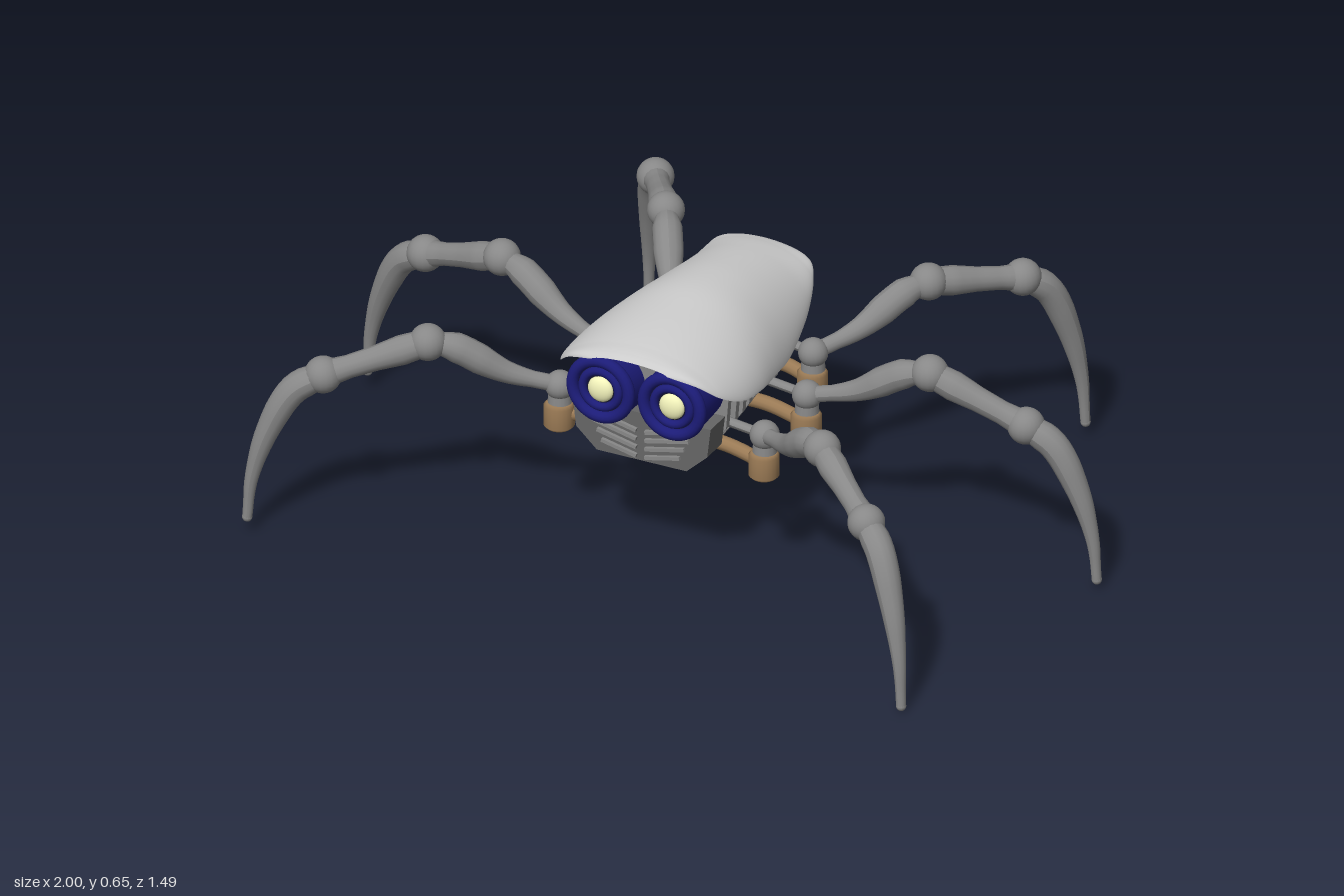
import * as THREE from 'three';
import { ParametricGeometry } from 'three/addons/geometries/ParametricGeometry.js';

const V = (x, y, z) => new THREE.Vector3(x, y, z);
const mat = (color, side = THREE.FrontSide) => new THREE.MeshStandardMaterial({ color, side });
const shellMat = mat(0xcccccc, THREE.DoubleSide);
const metal = mat(0x888888);
const dark = mat(0x666666);
const blue = mat(0x1c1c78);
const navy = mat(0x14142c);
const brown = mat(0x9a7a55);
const lens = mat(0xf4f4bc);

function add(parent, name, geometry, material, position) {
  const mesh = new THREE.Mesh(geometry, material);
  mesh.name = name;
  if (position) mesh.position.copy(position);
  parent.add(mesh);
  return mesh;
}

// Round limb along a smooth path; radii are spread evenly along its length
function taperTube(points, radii, segments = 20, sides = 14) {
  const curve = new THREE.CatmullRomCurve3(points);
  const geo = new THREE.TubeGeometry(curve, segments, 1, sides);
  const pos = geo.attributes.position, p = V(0, 0, 0);
  for (let i = 0; i <= segments; i++) {
    const c = curve.getPointAt(i / segments);
    const f = (i / segments) * (radii.length - 1);
    const k = Math.min(Math.floor(f), radii.length - 2);
    const r = THREE.MathUtils.lerp(radii[k], radii[k + 1], f - k);
    for (let j = 0; j <= sides; j++) {
      const n = i * (sides + 1) + j;
      p.fromBufferAttribute(pos, n).sub(c).multiplyScalar(r).add(c);
      pos.setXYZ(n, p.x, p.y, p.z);
    }
  }
  geo.computeVertexNormals();
  return geo;
}

// Shell stations from front to back: z, half width, ridge height, edge height
const stations = [
  [0.478, 0.10, 0.597, 0.583], [0.455, 0.17, 0.607, 0.56], [0.42, 0.21, 0.615, 0.525],
  [0.35, 0.235, 0.627, 0.49], [0.25, 0.237, 0.638, 0.473], [0.15, 0.222, 0.645, 0.46],
  [0.05, 0.205, 0.64, 0.447], [-0.05, 0.185, 0.627, 0.46], [-0.13, 0.167, 0.614, 0.485],
  [-0.19, 0.148, 0.602, 0.525], [-0.22, 0.128, 0.592, 0.553], [-0.233, 0.09, 0.58, 0.567],
];
const edge = new THREE.CatmullRomCurve3(stations.map(([z, w, , b]) => V(w, b, z)));
const ridge = new THREE.CatmullRomCurve3(stations.map(([z, , t]) => V(0, t, z)));

function shellWidth(z) {
  const i = Math.max(1, stations.findIndex((s) => s[0] <= z));
  const [a, b] = [stations[i - 1], stations[i]];
  return THREE.MathUtils.mapLinear(z, a[0], b[0], a[1], b[1]);
}

// Transverse plate: wide shoulders narrowing to a flat keel
function plate(halfWidth, top, bottom, depth) {
  const mid = bottom + (top - bottom) * 0.4;
  const half = [[halfWidth * 0.65, bottom], [halfWidth * 0.95, mid], [halfWidth, top]];
  const outline = [...half, ...half.map(([x, y]) => [-x, y]).reverse()];
  const shape = new THREE.Shape(outline.map(([x, y]) => new THREE.Vector2(x, y)));
  return new THREE.ExtrudeGeometry(shape, { depth, bevelEnabled: false });
}

// Each leg: hip, knee, ankle and tip
const legs = [
  ['frontLeftLeg', V(0.265, 0.38, 0.295), V(0.51, 0.495, 0.48), V(0.70, 0.415, 0.625), V(0.845, 0.01, 0.73)],
  ['frontRightLeg', V(-0.275, 0.38, 0.295), V(-0.548, 0.50, 0.444), V(-0.762, 0.42, 0.567), V(-0.92, 0.04, 0.65)],
  ['middleLeftLeg', V(0.265, 0.38, 0.075), V(0.57, 0.495, 0.037), V(0.81, 0.40, 0.01), V(0.985, 0.02, -0.012)],
  ['middleRightLeg', V(-0.272, 0.38, 0.075), V(-0.58, 0.50, -0.005), V(-0.815, 0.42, -0.07), V(-0.985, 0.045, -0.105)],
  ['backLeftLeg', V(0.185, 0.38, -0.115), V(0.365, 0.495, -0.36), V(0.52, 0.455, -0.545), V(0.622, 0.03, -0.67)],
  ['backRightLeg', V(-0.185, 0.38, -0.115), V(-0.34, 0.50, -0.385), V(-0.473, 0.455, -0.593), V(-0.56, 0.05, -0.73)],
];

function makeLeg([name, hip, knee, ankle, tip]) {
  const leg = new THREE.Group();
  leg.name = name;
  const ball = (n, p, r) => add(leg, n, new THREE.SphereGeometry(r, 20, 14), metal, p);
  ball('hipJoint', hip, 0.036);
  ball('kneeJoint', knee, 0.045);
  ball('ankleJoint', ankle, 0.045);

  // Thigh swells towards the knee
  const low = hip.clone().lerp(knee, 0.4), high = hip.clone().lerp(knee, 0.8);
  low.y -= 0.012;
  high.y += 0.01;
  add(leg, 'thigh', taperTube([hip, low, high, knee], [0.02, 0.02, 0.027, 0.036, 0.036, 0.02]), metal);
  add(leg, 'shin', taperTube([knee, ankle], [0.032, 0.036, 0.03, 0.028, 0.034]), metal);

  // Foot arcs outwards and drops to a blunt claw
  const arc = [[0, 0], [0.38, 0.1], [0.72, 0.38], [0.94, 0.72], [1, 1]].map(([h, d]) => V(
    THREE.MathUtils.lerp(ankle.x, tip.x, h),
    THREE.MathUtils.lerp(ankle.y, tip.y, d),
    THREE.MathUtils.lerp(ankle.z, tip.z, h)));
  add(leg, 'foot', taperTube(arc, [0.03, 0.036, 0.035, 0.033, 0.029, 0.025, 0.02, 0.016, 0.013, 0.012], 28), metal);
  add(leg, 'footTip', new THREE.SphereGeometry(0.0125, 12, 8), metal, tip);

  // Hip mount, bracket rod and foot-drive motor below
  add(leg, 'hipMount', new THREE.CylinderGeometry(0.026, 0.03, 0.06, 16), metal, V(hip.x, 0.355, hip.z));
  add(leg, 'hipRod', taperTube([hip, V(hip.x * 0.4, 0.40, hip.z)], [0.012, 0.012], 2, 8), metal);
  const can = [[0, -0.033], [0.03, -0.033], [0.037, -0.026], [0.037, 0.026], [0.03, 0.033], [0, 0.033]];
  add(leg, 'motor', new THREE.LatheGeometry(can.map(([x, y]) => new THREE.Vector2(x, y)), 20), brown,
    V(hip.x, 0.303, hip.z + 0.004));
  return leg;
}

export function createModel() {
  const model = new THREE.Group();
  model.name = 'spiderRobot';

  // Domed back shell
  const dome = (u, v, target) => {
    const e = edge.getPoint(u), t = ridge.getPoint(u), a = (0.5 - v) * Math.PI;
    target.set(e.x * Math.sin(a), e.y + (t.y - e.y) * Math.pow(Math.max(0, Math.cos(a)), 1.2), e.z);
  };
  add(model, 'shell', new ParametricGeometry(dome, 60, 40), shellMat);

  // Belly core and ribs
  const belly = new THREE.Group();
  belly.name = 'belly';
  model.add(belly);
  add(belly, 'core', new THREE.BoxGeometry(0.2, 0.08, 0.53), dark, V(0, 0.40, 0.075));
  for (const s of [-1, 1]) {
    add(belly, 'sideRail', new THREE.BoxGeometry(0.03, 0.045, 0.32), metal, V(s * 0.13, 0.385, 0.15));
  }
  for (let i = 0; i < 12; i++) {
    const z = 0.31 - i * 0.045;
    const bottom = z > -0.03 ? 0.31 : 0.31 + (-0.03 - z) * 0.55;
    add(belly, 'rib', plate(shellWidth(z) * 0.8, z < -0.15 ? 0.55 : 0.51, bottom, 0.017), metal, V(0, 0, z));
  }

  // Snout with slanted slats
  add(model, 'snout', plate(0.182, 0.43, 0.303, 0.075), dark, V(0, 0, 0.338));
  add(model, 'browPlate', plate(0.17, 0.57, 0.4, 0.02), metal, V(0, 0, 0.36));
  for (const s of [-1, 1]) {
    for (let i = 0; i < 4; i++) {
      const slat = add(model, 'snoutSlat', new THREE.BoxGeometry(0.13 - i * 0.012, 0.009, 0.012), metal,
        V(s * (0.075 - i * 0.006), 0.398 - i * 0.024, 0.416));
      slat.rotation.z = s * 0.22;
    }

    // Eye barrel runs back beneath the shell
    add(model, 'eyeBarrel', taperTube([V(s * 0.094, 0.485, 0.44), V(s * 0.075, 0.48, 0)], [0.085, 0.083, 0.07, 0.055], 12, 28), blue);
    const eye = new THREE.Group();
    eye.name = s > 0 ? 'leftEye' : 'rightEye';
    eye.position.set(s * 0.094, 0.485, 0.44);
    model.add(eye);
    add(eye, 'outerRing', new THREE.TorusGeometry(0.074, 0.015, 12, 36), blue);
    add(eye, 'innerRing', new THREE.TorusGeometry(0.047, 0.011, 10, 32), blue);
    add(eye, 'socket', new THREE.CircleGeometry(0.08, 32), navy);
    const bulb = add(eye, 'lens', new THREE.SphereGeometry(0.033, 24, 16), lens);
    bulb.scale.z = 0.5;
  }

  // Tail fittings
  add(model, 'tailBlock', new THREE.BoxGeometry(0.11, 0.075, 0.04), dark, V(0, 0.51, -0.205));
  for (const x of [-0.036, 0, 0.036]) {
    add(model, 'tailPlug', new THREE.CylinderGeometry(0.014, 0.014, 0.085, 14), metal, V(x, 0.51, -0.227));
  }

  // Legs, with a drive pipe crossing beneath the belly for each pair
  legs.forEach((leg) => model.add(makeLeg(leg)));
  for (let i = 0; i < 6; i += 2) {
    const [l, r] = [legs[i][1], legs[i + 1][1]];
    const path = [V(l.x, 0.305, l.z), V(l.x * 0.55, 0.318, l.z - 0.02), V(0, 0.308, l.z - 0.03),
      V(r.x * 0.55, 0.318, r.z - 0.02), V(r.x, 0.305, r.z)];
    add(model, 'drivePipe', new THREE.TubeGeometry(new THREE.CatmullRomCurve3(path), 32, 0.018, 12), brown);
  }
  return model;
}
